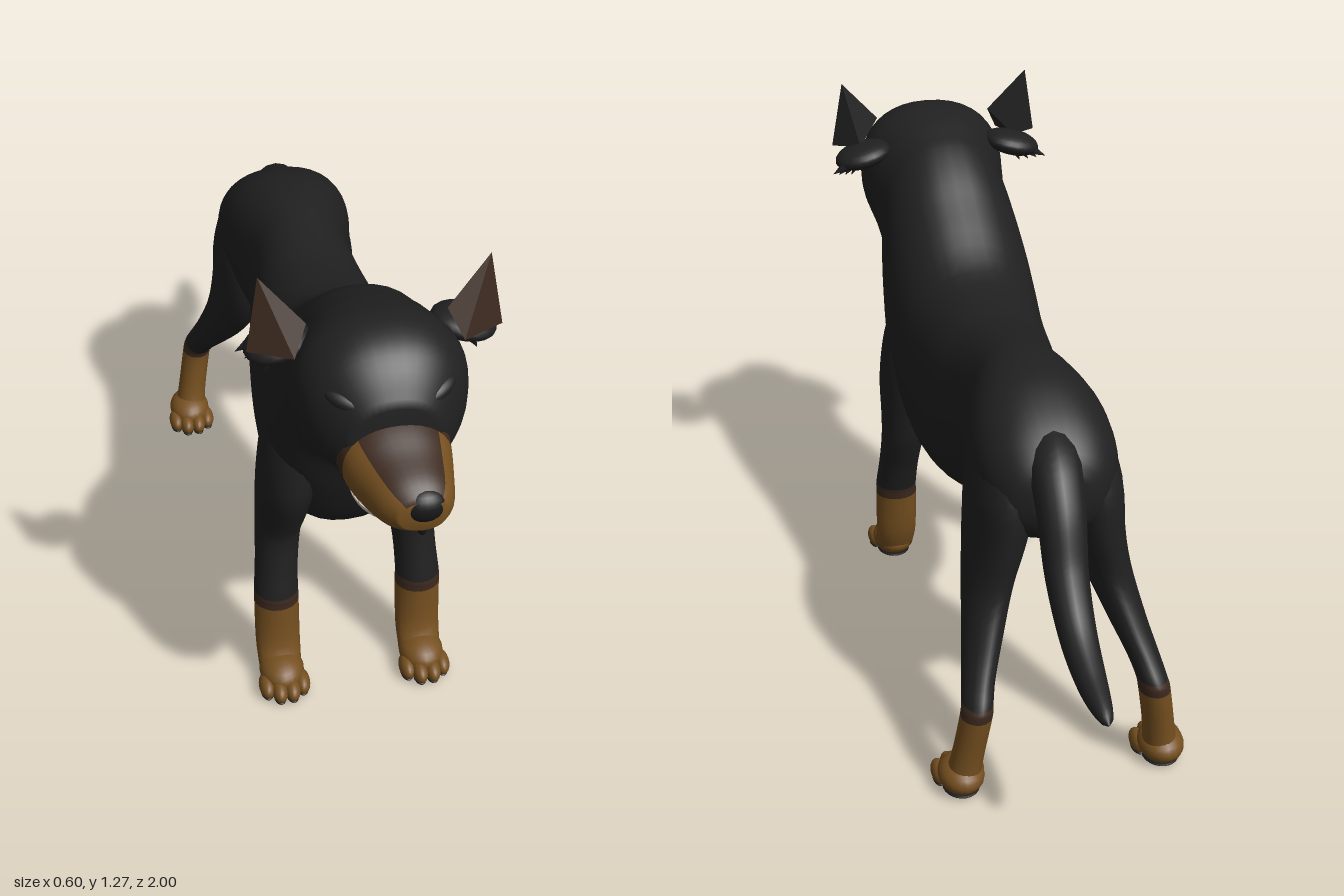
import * as THREE from 'three';

const mat = (name, color, side = THREE.FrontSide) => {
  const m = new THREE.MeshStandardMaterial({ color, side });
  m.name = name;
  return m;
};
const black = mat('black coat', 0x202020, THREE.DoubleSide);
const tan = mat('tan fur', 0x765020);
const brown = mat('dark brown fur', 0x3d2a1f, THREE.DoubleSide);
const noseBlack = mat('nose and pads', 0x181818);
const cream = mat('teeth and jaw', 0xcdc6ba, THREE.DoubleSide);
const pink = mat('tongue', 0xb96d70);
const mouthRed = mat('mouth lining', 0x4a2224, THREE.DoubleSide);

function add(parent, name, geometry, material, pos = [0, 0, 0], scale = [1, 1, 1], rot = [0, 0, 0]) {
  const m = new THREE.Mesh(geometry, material);
  m.name = name;
  m.position.set(...pos);
  m.scale.set(...scale);
  m.rotation.set(...rot);
  parent.add(m);
  return m;
}
const ball = new THREE.SphereGeometry(1, 20, 14);
const soft = (v, power) => Math.sign(v) * Math.abs(v) ** power;

// Smooth skin through rounded sections [x, y, z, half width, half depth], listed along
// +z or +y; power below 1 squares them, pick(segment, angle) gives the material index.
function loft(sections, axis, sides = 32, power = 1, pick = () => 0) {
  const steps = 4;
  const centres = new THREE.CatmullRomCurve3(sections.map(s => new THREE.Vector3(s[0], s[1], s[2])), false, 'catmullrom', 0.5);
  const radii = new THREE.CatmullRomCurve3(sections.map(s => new THREE.Vector3(s[3], s[4], 0)), false, 'catmullrom', 0.5);
  const rings = (sections.length - 1) * steps;
  const pos = [];
  const lists = [];
  const push = (k, ...ids) => (lists[k] ??= []).push(...ids);
  for (let i = 0; i <= rings; i++) {
    const c = centres.getPoint(i / rings), r = radii.getPoint(i / rings);
    for (let j = 0; j < sides; j++) {
      const a = j / sides * Math.PI * 2;
      const u = r.x * soft(Math.cos(a), power), v = r.y * soft(Math.sin(a), power);
      if (axis === 'z') pos.push(c.x + u, c.y + v, c.z);
      else pos.push(c.x + u, c.y, c.z - v);
    }
  }
  for (let i = 0; i < rings; i++) {
    for (let j = 0; j < sides; j++) {
      const n = (j + 1) % sides, a = i * sides + j, b = i * sides + n;
      const k = pick(Math.floor(i / steps), (j + 0.5) / sides * Math.PI * 2);
      push(k, a, b, b + sides, a, b + sides, a + sides);
    }
  }
  const first = sections[0], last = sections[sections.length - 1], c0 = pos.length / 3;
  pos.push(...first.slice(0, 3), ...last.slice(0, 3));
  for (let j = 0; j < sides; j++) {
    const n = (j + 1) % sides, e = rings * sides;
    push(pick(0, Math.PI * 1.5), c0, n, j);
    push(pick(sections.length - 2, Math.PI * 1.5), c0 + 1, e + j, e + n);
  }
  const g = new THREE.BufferGeometry();
  g.setAttribute('position', new THREE.Float32BufferAttribute(pos, 3));
  g.setIndex(lists.flat());
  let start = 0;
  lists.forEach((l, k) => { g.addGroup(start, l.length, k); start += l.length; });
  g.computeVertexNormals();
  return g;
}
// Section given by its top and bottom edge
const slab = ([z, top, bottom, half, x = 0]) => [x, (top + bottom) / 2, z, half, (top - bottom) / 2];

function makeLeg(name, sections, foot) {
  const leg = new THREE.Group();
  leg.name = name;
  // tan below, a dark brown band, then black
  const pick = s => (s < 2 ? 0 : s === 2 ? 1 : 2);
  add(leg, 'leg', loft(sections, 'y', 20, 1, pick), [tan, brown, black]);
  const [x, z] = foot;
  add(leg, 'paw', ball, tan, [x, 0.042, z - 0.035], [0.053, 0.04, 0.068]);
  [-0.042, -0.015, 0.015, 0.042].forEach((dx, i) => {
    const back = i === 0 || i === 3 ? 0.02 : 0;
    add(leg, 'toe', ball, tan, [x + dx, 0.026, z + 0.022 - back], [0.019, 0.024, 0.038]);
    add(leg, 'toePad', ball, noseBlack, [x + dx, 0.006, z + 0.022 - back], [0.015, 0.006, 0.03]);
  });
  add(leg, 'footPad', ball, noseBlack, [x, 0.006, z - 0.035], [0.042, 0.006, 0.05]);
  return leg;
}

function makeEar() {
  const ear = new THREE.Group();
  ear.name = 'ear';
  const tip = [0.238, 1.27, 0.63], out = [0.265, 1.105, 0.645], inner = [0.145, 1.165, 0.655];
  const front = [0.175, 1.105, 0.69], back = [0.2, 1.11, 0.6];
  const faces = (...p) => {
    const g = new THREE.BufferGeometry();
    g.setAttribute('position', new THREE.Float32BufferAttribute(p.flat(), 3));
    g.computeVertexNormals();
    return g;
  };
  add(ear, 'earFront', faces(tip, inner, front, tip, front, out), brown);
  add(ear, 'earBack', faces(tip, out, back, tip, back, inner, out, front, back, front, inner, back), black);
  // flap below the ear with a ragged outer edge
  add(ear, 'earFlap', ball, black, [0.195, 1.09, 0.6], [0.072, 0.03, 0.065], [0, 0, -0.25]);
  for (let i = 0; i < 4; i++) {
    add(ear, 'earTuft', new THREE.ConeGeometry(0.02, 0.06, 6), black,
      [0.252 - i * 0.014, 1.07 - i * 0.004, 0.57 + i * 0.016], [1, 1, 1], [0, 0, -2.1 - i * 0.2]);
  }
  return ear;
}

export function createModel() {
  const dog = new THREE.Group();
  dog.name = 'dog';

  // Torso, neck and skull as one skin: z, top, bottom, half width
  const body = [
    [-0.578, 0.75, 0.65, 0.06], [-0.55, 0.8, 0.6, 0.115], [-0.48, 0.855, 0.56, 0.155],
    [-0.38, 0.9, 0.545, 0.163], [-0.28, 0.914, 0.54, 0.146], [-0.19, 0.91, 0.51, 0.128],
    [-0.08, 0.895, 0.465, 0.14], [0.03, 0.888, 0.4, 0.163], [0.19, 0.915, 0.366, 0.18],
    [0.326, 1.01, 0.385, 0.189], [0.42, 1.085, 0.44, 0.185], [0.49, 1.13, 0.57, 0.174],
    [0.54, 1.15, 0.7, 0.164], [0.6, 1.17, 0.78, 0.172], [0.68, 1.185, 0.83, 0.184],
    [0.75, 1.168, 0.85, 0.168], [0.8, 1.13, 0.86, 0.135], [0.845, 1.07, 0.89, 0.09]
  ].map(slab);
  add(dog, 'body', loft(body, 'z', 40, 0.88), black);
  add(dog, 'sheath', ball, black, [0, 0.51, -0.165], [0.026, 0.034, 0.065], [-0.3, 0, 0]);

  // Muzzle: tan cheeks, dark bridge and rear band, turned slightly left
  const muzzle = [
    [0.77, 1.055, 0.86, 0.122], [0.845, 1.03, 0.846, 0.112, 0.003], [0.9, 1.002, 0.844, 0.096, 0.01],
    [0.955, 0.978, 0.856, 0.076, 0.017], [0.99, 0.95, 0.88, 0.048, 0.022]
  ].map(slab);
  const bridge = (s, a) => (s === 0 || Math.abs(a - Math.PI / 2) < 0.82 ? 1 : 0);
  add(dog, 'muzzle', loft(muzzle, 'z', 32, 0.92, bridge), [tan, brown]);
  add(dog, 'nose', ball, noseBlack, [0.028, 0.927, 0.966], [0.047, 0.038, 0.034]);
  add(dog, 'noseGroove', ball, noseBlack, [0.024, 0.882, 0.972], [0.012, 0.026, 0.017]);

  // Lower jaw, opened downwards at the front
  const jaw = new THREE.Group();
  jaw.name = 'jaw';
  jaw.position.set(0.01, 0.835, 0.775);
  jaw.rotation.x = 0.2;
  add(jaw, 'jawBowl', new THREE.SphereGeometry(1, 28, 10, 0, Math.PI * 2, Math.PI / 2, Math.PI / 2), cream, [0, 0, 0], [0.09, 0.05, 0.098]);
  add(jaw, 'mouthLining', new THREE.CircleGeometry(1, 28), mouthRed, [0, -0.002, 0], [0.086, 0.094, 1], [-Math.PI / 2, 0, 0]);
  add(jaw, 'tongue', ball, pink, [0, 0.008, 0.015], [0.052, 0.018, 0.068]);
  const tooth = new THREE.ConeGeometry(0.006, 0.016, 6);
  for (let i = -6; i <= 6; i++) {
    const a = i * 0.22;
    add(jaw, 'lowerTooth', tooth, cream, [Math.sin(a) * 0.083, 0.006, Math.cos(a) * 0.091]);
  }
  dog.add(jaw);
  for (let i = -4; i <= 4; i++) {
    const a = i * 0.32;
    add(dog, 'upperTooth', tooth, cream, [0.01 + Math.sin(a) * 0.078, 0.846, 0.81 + Math.cos(a) * 0.07], [1, 1, 1], [Math.PI, 0, 0]);
  }

  // Tail: a tapered tube drooping backwards
  const path = new THREE.CatmullRomCurve3([
    [0, 0.785, -0.46], [0.01, 0.758, -0.55], [0.015, 0.695, -0.615], [0.02, 0.58, -0.68],
    [0.02, 0.487, -0.765], [0.02, 0.435, -0.87], [0.02, 0.408, -0.998]
  ].map(p => new THREE.Vector3(...p)));
  const tail = new THREE.TubeGeometry(path, 40, 1, 16);
  const tp = tail.attributes.position, v = new THREE.Vector3();
  for (let i = 0; i < tp.count; i++) {
    const t = Math.floor(i / 17) / 40, c = path.getPointAt(t);
    const r = 0.063 * (1 - 0.5 * t) * Math.sqrt(Math.max(0, 1 - t ** 8));
    v.fromBufferAttribute(tp, i).sub(c).multiplyScalar(r).add(c);
    tp.setXYZ(i, v.x, v.y, v.z);
  }
  tail.computeVertexNormals();
  add(dog, 'tail', tail, black);

  // Paired parts, built on the left and mirrored
  const frontLeg = [
    [0.17, 0.03, 0.455, 0.05, 0.05], [0.17, 0.1, 0.418, 0.053, 0.041], [0.17, 0.215, 0.405, 0.053, 0.05],
    [0.17, 0.245, 0.402, 0.052, 0.054], [0.165, 0.32, 0.382, 0.05, 0.06], [0.158, 0.4, 0.362, 0.053, 0.072],
    [0.15, 0.46, 0.365, 0.059, 0.09], [0.138, 0.56, 0.378, 0.069, 0.116], [0.115, 0.68, 0.375, 0.078, 0.115],
    [0.09, 0.8, 0.37, 0.07, 0.09]
  ];
  const rearLeg = [
    [0.235, 0.03, -0.6, 0.042, 0.05], [0.225, 0.1, -0.616, 0.037, 0.039], [0.207, 0.215, -0.628, 0.036, 0.044],
    [0.202, 0.245, -0.615, 0.035, 0.055], [0.19, 0.29, -0.578, 0.037, 0.061], [0.167, 0.36, -0.52, 0.044, 0.078],
    [0.138, 0.46, -0.45, 0.055, 0.108], [0.113, 0.57, -0.42, 0.067, 0.143], [0.1, 0.68, -0.42, 0.073, 0.142],
    [0.08, 0.8, -0.42, 0.06, 0.1]
  ];
  for (const side of [1, -1]) {
    const half = new THREE.Group();
    half.name = side > 0 ? 'leftSide' : 'rightSide';
    half.scale.x = side;
    half.add(makeLeg('frontLeg', frontLeg, [0.17, 0.5]));
    half.add(makeLeg('rearLeg', rearLeg, [0.237, -0.565]));
    half.add(makeEar());
    add(half, 'brow', ball, black, [0.085, 1.068, 0.79], [0.055, 0.022, 0.032], [0, 0.5, 0.25]);
    add(half, 'eye', ball, noseBlack, [0.09, 1.04, 0.802], [0.018, 0.009, 0.016], [0, 0.5, 0.2]);
    dog.add(half);
  }
  return dog;
}
